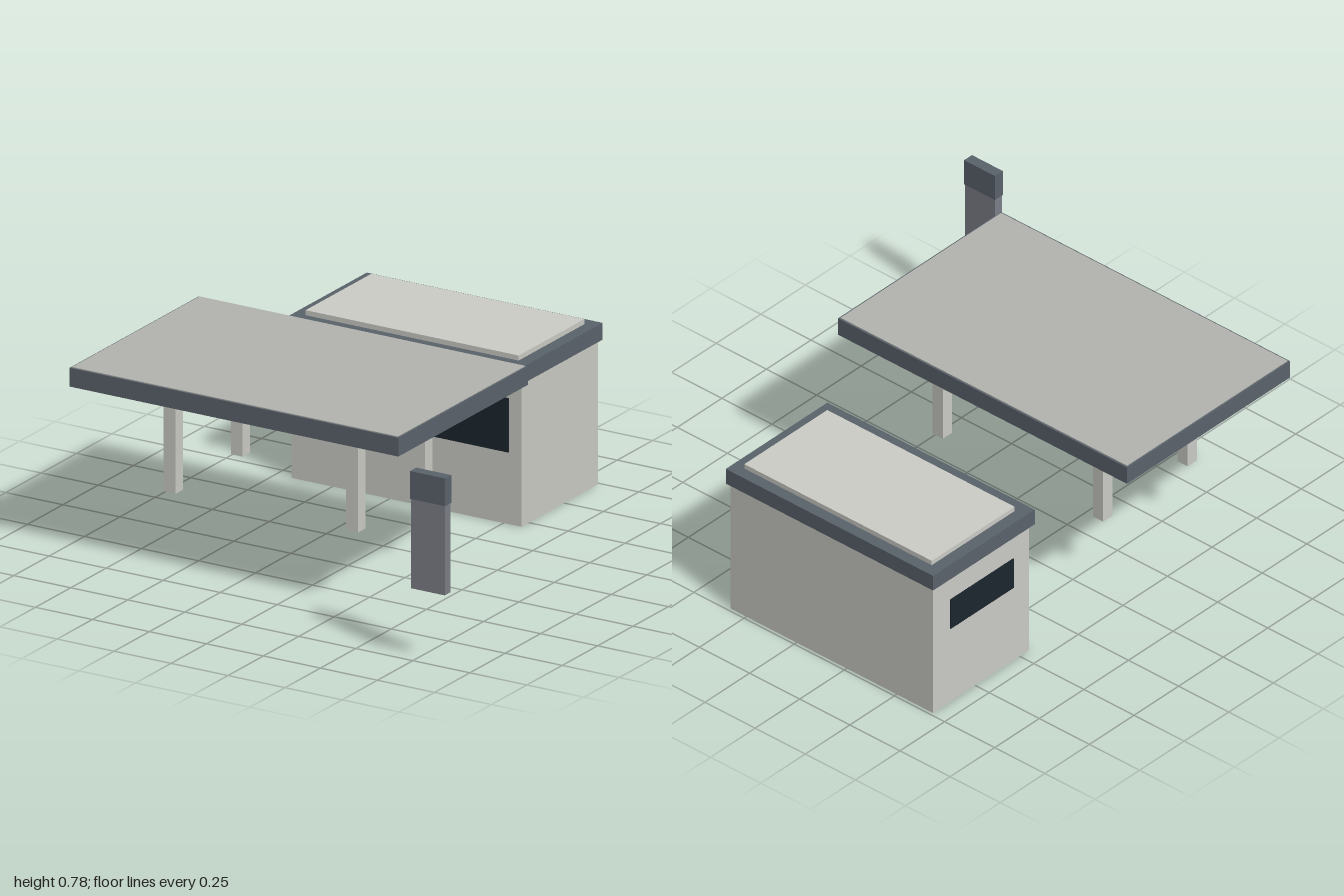
import * as THREE from 'three';

const paint = (color) => new THREE.MeshStandardMaterial({ color });

export function createModel() {
  const group = new THREE.Group();
  const wall = paint(0xcbccc6);
  const trim = paint(0x5a636b);
  const deck = paint(0xb3b3ae);
  const glass = paint(0x1c262e);
  const panel = paint(0x7c7f88);

  // Box given by its extents along x, y and z
  function block(name, material, [x0, x1], [y0, y1], [z0, z1]) {
    const mesh = new THREE.Mesh(new THREE.BoxGeometry(x1 - x0, y1 - y0, z1 - z0), material);
    mesh.position.set((x0 + x1) / 2, (y0 + y1) / 2, (z0 + z1) / 2);
    mesh.name = name;
    group.add(mesh);
  }

  // Shop building with a roof band and a raised roof panel
  block('shopWalls', wall, [-0.68, 0.328], [0, 0.58], [-0.987, -0.447]);
  block('roofBand', trim, [-0.693, 0.341], [0.573, 0.64], [-1, -0.43]);
  block('roofPanel', wall, [-0.643, 0.291], [0.63, 0.66], [-0.952, -0.487]);

  // Windows, slightly proud of the walls
  block('frontWindow', glass, [-0.626, 0.274], [0.285, 0.5], [-0.46, -0.443]);
  block('sideWindow', glass, [-0.684, -0.67], [0.335, 0.468], [-0.89, -0.537]);

  // Canopy: dark fascia with light panels above and below
  const deckX = [-0.889, 0.539], deckZ = [-0.134, 0.767];
  block('canopyFascia', trim, [-0.896, 0.546], [0.7, 0.774], [-0.141, 0.774]);
  block('canopyTop', deck, deckX, [0.76, 0.777], deckZ);
  block('canopyUnderside', deck, deckX, [0.698, 0.71], deckZ);

  // Four canopy posts
  for (const x of [-0.575, 0.225])
    for (const z of [0.083, 0.557])
      block('canopyPost', wall, [x - 0.026, x + 0.026], [0.282, 0.7], [z - 0.026, z + 0.026]);

  // Roadside price sign
  block('signBoard', panel, [0.741, 0.889], [0.285, 0.645], [0.958, 0.998]);
  block('signHeader', trim, [0.738, 0.892], [0.64, 0.75], [0.956, 1]);

  return group;
}
